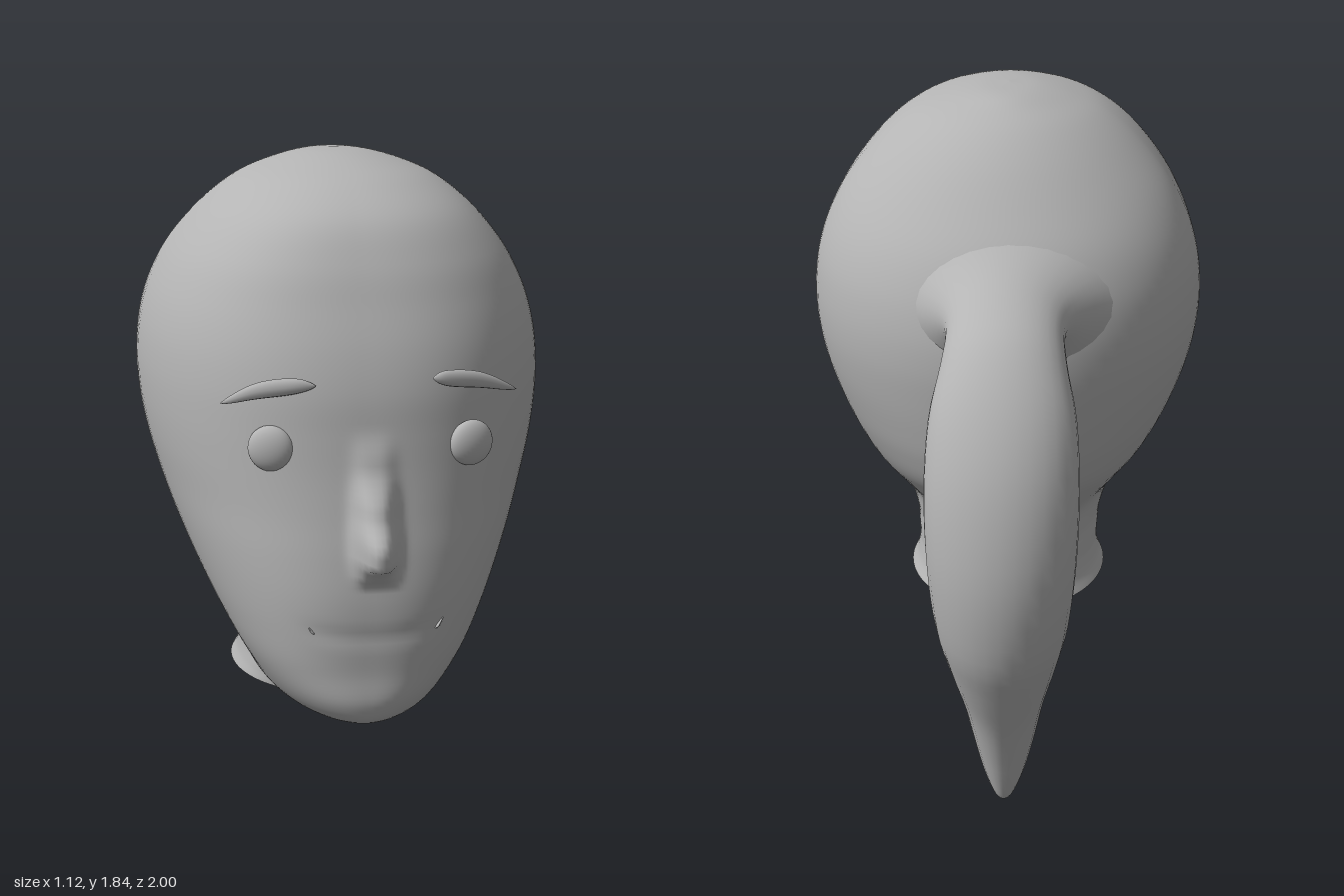
import * as THREE from 'three';

const V = (x, y, z) => new THREE.Vector3(x, y, z);

// Skin a smooth closed surface over rings of points (u x v follows the ring order)
function loft(rings) {
  const n = rings[0].length, pos = [], idx = [];
  rings.forEach(r => r.forEach(p => pos.push(p.x, p.y, p.z)));
  for (let i = 0; i < rings.length - 1; i++) {
    for (let j = 0; j < n; j++) {
      const k = (j + 1) % n;
      const a = i * n + j, b = i * n + k, c = a + n, d = b + n;
      idx.push(a, b, c, b, d, c);
    }
  }
  const g = new THREE.BufferGeometry();
  g.setAttribute('position', new THREE.Float32BufferAttribute(pos, 3));
  g.setIndex(idx);
  g.computeVertexNormals();
  return g;
}

const spline = pts => new THREE.CatmullRomCurve3(pts, false, 'catmullrom', 0.5);

const ellipseRing = (c, u, v, n) => Array.from({ length: n }, (_, j) => {
  const t = j / n * Math.PI * 2;
  return c.clone().addScaledVector(u, Math.cos(t)).addScaledVector(v, Math.sin(t));
});

// Head levels: y, front z, back z, half width, z of widest point, front squareness
const LEVELS = [
  [0.325, 0.41, -0.25, 0.305, 0.08, 2],
  [0.36, 0.445, -0.235, 0.289, 0.09, 1.9],
  [0.4, 0.51, -0.224, 0.281, 0.1, 1.7],
  [0.417, 0.74, -0.221, 0.281, 0.11, 1.5],
  [0.45, 0.87, -0.22, 0.284, 0.13, 1.9],
  [0.51, 0.91, -0.22, 0.294, 0.18, 2.4],
  [0.6, 0.91, -0.23, 0.333, 0.25, 2.7],
  [0.7, 0.915, -0.33, 0.387, 0.22, 2.6],
  [0.8, 0.915, -0.43, 0.437, 0.16, 2.5],
  [0.9, 0.903, -0.468, 0.48, 0.11, 2.45],
  [1.0, 0.885, -0.485, 0.515, 0.08, 2.4],
  [1.1, 0.868, -0.495, 0.542, 0.06, 2.4],
  [1.2, 0.855, -0.5, 0.557, 0.05, 2.4],
  [1.3, 0.842, -0.492, 0.559, 0.05, 2.4],
  [1.4, 0.815, -0.465, 0.545, 0.05, 2.45],
  [1.5, 0.775, -0.415, 0.511, 0.06, 2.5],
  [1.6, 0.73, -0.335, 0.454, 0.08, 2.5],
  [1.7, 0.66, -0.245, 0.366, 0.12, 2.4],
  [1.77, 0.545, -0.16, 0.276, 0.14, 2.2],
  [1.81, 0.42, -0.08, 0.185, 0.14, 2.1],
  [1.835, 0.28, 0, 0.09, 0.14, 2],
  [1.842, 0.141, 0.139, 0.001, 0.14, 2],
];

// Nose ridge: height y, how far it stands out
const NOSE = [[0.83, 0], [0.87, 0.042], [0.905, 0.1], [0.95, 0.11],
  [1.02, 0.065], [1.13, 0.015], [1.22, 0]];
const MID = 0.015; // centre line of the facial features

function noseHeight(y) {
  for (let i = 0; i < NOSE.length - 1; i++) {
    const [y0, h0] = NOSE[i], [y1, h1] = NOSE[i + 1];
    if (y >= y0 && y <= y1) {
      return h0 + (h1 - h0) * THREE.MathUtils.smoothstep(y, y0, y1);
    }
  }
  return 0;
}

function headGeometry() {
  const outline = spline(LEVELS.map(l => V(l[1], l[0], l[2])));
  const shape = spline(LEVELS.map(l => V(l[3], l[4], l[5])));
  const rows = (LEVELS.length - 1) * 6, n = 144, rings = [];
  for (let i = 0; i <= rows; i++) {
    const { x: front, y, z: back } = outline.getPoint(i / rows);
    const { x: half, y: wide, z: power } = shape.getPoint(i / rows);
    rings.push(Array.from({ length: n }, (_, j) => {
      // Points are packed closer together at the face
      const u = j / n * Math.PI * 2, t = u - 0.7 * Math.sin(u);
      const s = Math.sin(t), c = Math.cos(t), e = c > 0 ? 2 / power : 1;
      const x = half * Math.sign(s) * Math.abs(s) ** e;
      let z = wide + (c > 0 ? (front - wide) * c ** e : (wide - back) * c);
      if (c > 0) {
        const d = x - MID;
        z += noseHeight(y) * Math.exp(-(Math.abs(d / 0.047) ** 3));
        // Shallow crease of the mouth
        const lip = (y - 0.7 - 0.6 * d * d) / 0.022;
        z -= 0.004 * Math.exp(-lip * lip - (d / 0.17) ** 6);
      }
      return V(x, y, z);
    }));
  }
  return loft(rings);
}

// Ponytail, flaring where it leaves the head: outer z, y, inner z, y, half width
const TAIL = [
  [-0.33, 1.565, -0.39, 1.1, 0.32],
  [-0.42, 1.522, -0.46, 1.19, 0.235],
  [-0.515, 1.488, -0.515, 1.252, 0.174],
  [-0.62, 1.455, -0.57, 1.275, 0.152],
  [-0.74, 1.395, -0.615, 1.235, 0.16],
  [-0.86, 1.26, -0.66, 1.16, 0.185],
  [-0.95, 1.08, -0.69, 1.0, 0.195],
  [-0.998, 0.85, -0.675, 0.84, 0.19],
  [-0.985, 0.63, -0.63, 0.71, 0.175],
  [-0.93, 0.48, -0.555, 0.56, 0.15],
  [-0.86, 0.33, -0.485, 0.39, 0.117],
  [-0.81, 0.2, -0.49, 0.22, 0.09],
  [-0.775, 0.1, -0.55, 0.09, 0.062],
  [-0.745, 0.025, -0.64, 0.02, 0.03],
  [-0.72, 0.001, -0.715, 0.001, 0.002],
];

function tailGeometry() {
  const outer = spline(TAIL.map(t => V(0, t[1], t[0])));
  const inner = spline(TAIL.map(t => V(t[4], t[3], t[2])));
  const rows = (TAIL.length - 1) * 4, rings = [];
  for (let i = 0; i <= rows; i++) {
    const a = outer.getPoint(i / rows), b = inner.getPoint(i / rows);
    const half = b.x;
    b.x = 0;
    const c = a.clone().add(b).multiplyScalar(0.5);
    c.x = -0.018;
    rings.push(ellipseRing(c, a.sub(b).multiplyScalar(0.5), V(half, 0, 0), 32));
  }
  return loft(rings);
}

// Tapered strand along a path that runs towards +x
function strandGeometry(points, height, depth) {
  const path = spline(points), rows = 20, rings = [];
  for (let i = 0; i <= rows; i++) {
    const r = Math.max(0.02, Math.sin(i / rows * Math.PI) ** 0.7);
    rings.push(ellipseRing(path.getPoint(i / rows), V(0, height * r, 0), V(0, 0, depth * r), 12));
  }
  return loft(rings);
}

export function createModel() {
  const model = new THREE.Group();
  model.name = 'headWithPonytail';
  const clay = new THREE.MeshStandardMaterial({ color: 0xb4b4b4 });
  clay.name = 'clayGrey';
  const add = (name, geometry) => {
    const mesh = new THREE.Mesh(geometry, clay);
    mesh.name = name;
    model.add(mesh);
    return mesh;
  };

  add('headAndNeck', headGeometry());
  add('ponytail', tailGeometry());

  // Flat underside of the neck
  const base = add('neckBase', new THREE.CircleGeometry(1, 64).rotateX(Math.PI / 2));
  base.scale.set(0.305, 1, 0.33);
  base.position.set(0, 0.325, 0.08);

  // Eyes
  for (const [name, side] of [['leftEye', 1], ['rightEye', -1]]) {
    const eye = add(name, new THREE.SphereGeometry(0.058, 32, 20));
    eye.scale.z = 0.5;
    eye.rotation.y = side * 0.3;
    eye.position.set(MID + side * 0.249, 1.168, 0.811);
  }

  // Eyebrows
  add('leftEyebrow', strandGeometry(
    [V(0.16, 1.338, 0.832), V(0.2, 1.335, 0.822), V(0.29, 1.322, 0.795), V(0.385, 1.29, 0.765)], 0.022, 0.014));
  add('rightEyebrow', strandGeometry(
    [V(-0.355, 1.277, 0.78), V(-0.27, 1.31, 0.803), V(-0.18, 1.325, 0.825), V(-0.125, 1.327, 0.836)], 0.022, 0.014));

  // Corners of the mouth
  add('leftMouthCorner', strandGeometry(
    [V(0.168, 0.708, 0.882), V(0.179, 0.718, 0.877), V(0.192, 0.735, 0.87)], 0.006, 0.01));
  add('rightMouthCorner', strandGeometry(
    [V(-0.156, 0.735, 0.882), V(-0.145, 0.718, 0.887), V(-0.132, 0.708, 0.89)], 0.006, 0.01));

  return model;
}
